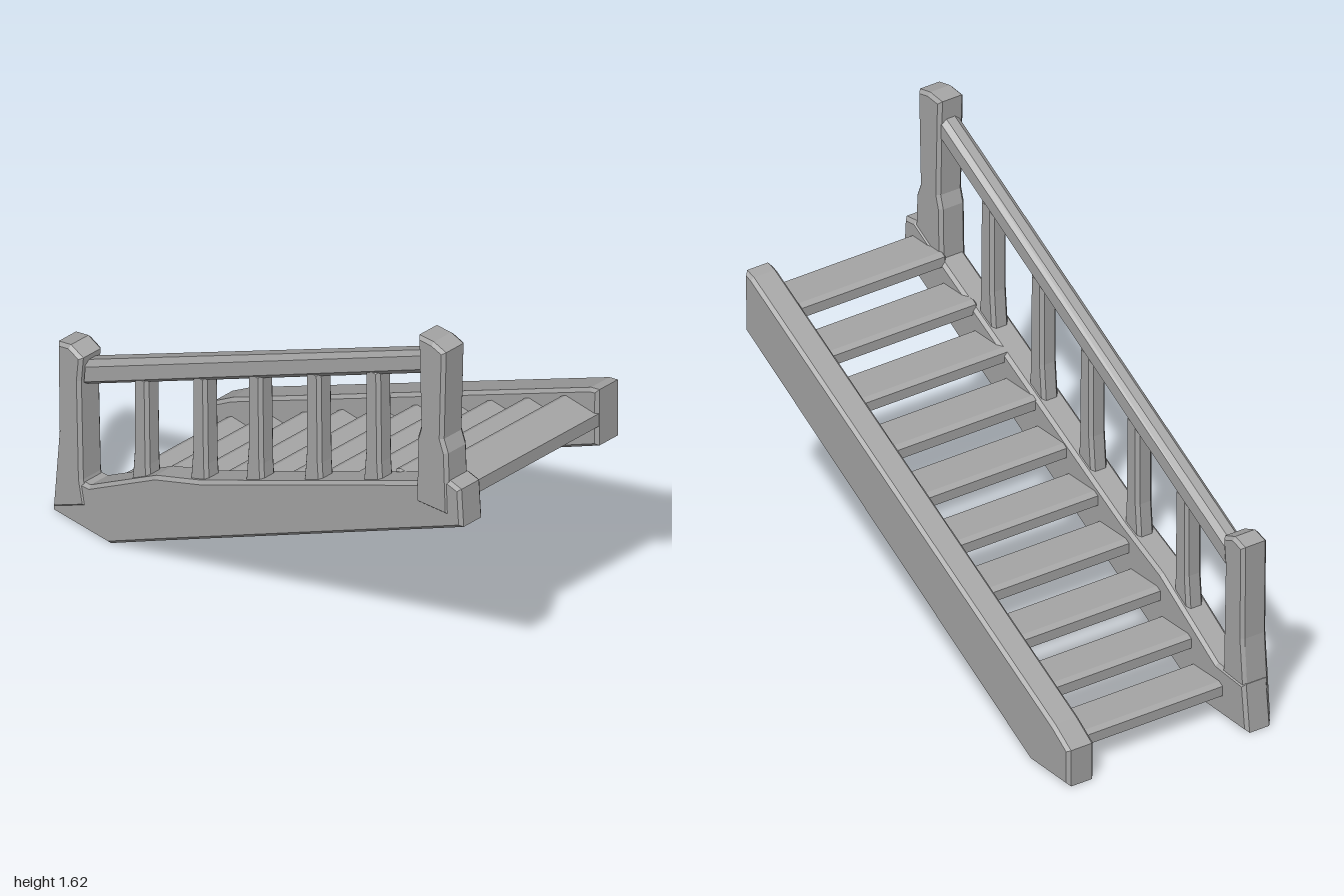
import * as THREE from 'three';

const stone = new THREE.MeshStandardMaterial({ color: 0xa6a6a6 });
stone.name = 'grey';

// Side profile in x/y, extruded from z0 to z1 with worn, chamfered edges
function slab(name, points, z0, z1, bevel = 0.012) {
  const shape = new THREE.Shape(points.map(([x, y]) => new THREE.Vector2(x, y)));
  const geometry = new THREE.ExtrudeGeometry(shape, {
    depth: z1 - z0 - 2 * bevel, bevelEnabled: true, bevelSegments: 1,
    bevelSize: bevel, bevelThickness: bevel, bevelOffset: -bevel,
  });
  geometry.translate(0, 0, z0 + bevel);
  const mesh = new THREE.Mesh(geometry, stone);
  mesh.name = name;
  return mesh;
}

export function createModel() {
  const group = new THREE.Group();
  group.name = 'staircase';

  // Sloping side beams
  group.add(slab('frontStringer', [
    [-1, 0], [-0.72, 0], [-0.5, 0.12], [1, 0.93], [0.99, 1.08], [0.93, 1.09],
    [0.8, 1.02], [-0.28, 0.48], [-0.5, 0.39], [-0.82, 0.19], [-0.98, 0.18],
  ], 0.3, 0.405));
  group.add(slab('backStringer', [
    [-0.94, 0], [-0.72, 0], [0.94, 0.9], [0.94, 1.13], [0.9, 1.12], [-0.85, 0.2], [-0.94, 0.14],
  ], -0.4, -0.29));

  // End posts, slightly swollen at the foot and cap
  group.add(slab('lowerPost', [
    [-0.99, 0.02], [-0.83, 0.1], [-0.85, 0.2], [-0.86, 0.6], [-0.85, 0.7], [-0.91, 0.725],
    [-0.97, 0.71], [-0.965, 0.35],
  ], 0.305, 0.41));
  group.add(slab('upperPost', [
    [0.78, 0.93], [0.94, 0.95], [0.93, 1.2], [0.91, 1.25], [0.92, 1.61], [0.86, 1.625],
    [0.79, 1.62], [0.8, 1.25], [0.785, 1.2],
  ], 0.305, 0.41));

  // Handrail
  group.add(slab('handrail', [[-0.87, 0.57], [0.82, 1.465], [0.82, 1.56], [-0.87, 0.67]], 0.315, 0.39, 0.02));

  // Balusters, flared at the foot
  [-0.59, -0.305, -0.035, 0.25, 0.54].forEach((x, i) => {
    const base = 0.53 + 0.51 * x;
    const top = 1.06 + 0.53 * x;
    const w = 0.034;
    group.add(slab(`baluster${i + 1}`, [
      [x - 0.05, base], [x + 0.05, base], [x + w + 0.005, base + 0.17], [x + w, top],
      [x - w, top], [x - w, base + 0.2],
    ], 0.318, 0.385));
  });

  // Treads
  for (let i = 0; i < 10; i++) {
    const x = -0.775 + i * 0.181;
    const y = 0.075 + i * 0.1005;
    const w = 0.085;
    group.add(slab(`tread${i + 1}`, [
      [x - w, y + 0.008], [x - w + 0.02, y], [x + w, y], [x + w, y + 0.052],
      [x - w + 0.02, y + 0.056], [x - w, y + 0.045],
    ], -0.31, 0.32, 0.008));
  }
  return group;
}
